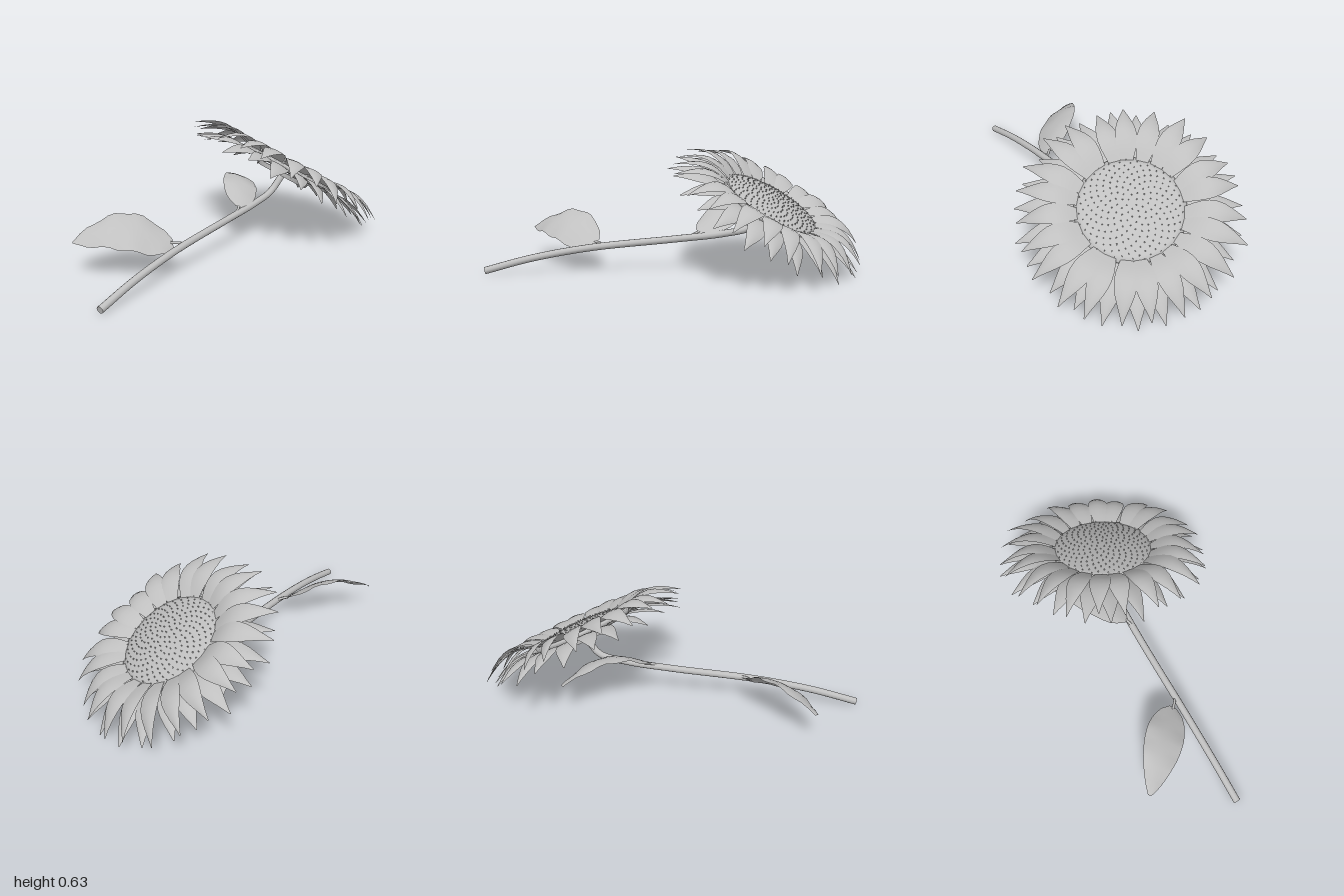
import * as THREE from 'three';
import { mergeGeometries } from 'three/addons/utils/BufferGeometryUtils.js';

const V = (x, y, z) => new THREE.Vector3(x, y, z);

// Grid sheet: fn(u in -1..1 across, t in 0..1 along) gives each point
function sheet(nu, nt, fn) {
  const g = new THREE.PlaneGeometry(1, 1, nu, nt);
  const p = g.attributes.position;
  for (let i = 0; i < p.count; i++) {
    const v = fn(p.getX(i) * 2, p.getY(i) + 0.5);
    p.setXYZ(i, v.x, v.y, v.z);
  }
  g.computeVertexNormals();
  return g;
}

// Pointed petal with a rounded back, running out from the rim of the head
function petal(angle, r0, length, width, base, rise, droop, phase) {
  const out = V(Math.cos(angle), 0, Math.sin(angle));
  const side = V(-out.z, 0, out.x);
  const twist = 0.3 * Math.sin(phase * 2.3);
  return sheet(6, 8, (u, t) => {
    const w = width * (0.5 + 0.5 * Math.sin(Math.PI * Math.min(1, t * 1.05))) * Math.pow(1 - t ** 3, 0.9) + 0.002;
    const y = base + rise * Math.sin(Math.PI * t) - droop * t * t - 0.35 * w * u * u * t + twist * w * u * t;
    return out.clone().multiplyScalar(r0 + length * t).addScaledVector(side, w * u).setY(y);
  });
}

// Arched leaf between two points; side is the half-width vector at its broadest
function leaf(base, tip, lift, side) {
  return sheet(8, 14, (u, t) => {
    const w = Math.pow(Math.sin(Math.PI * Math.pow(t * 0.97 + 0.012, 0.72)), 0.75);
    const wave = 0.006 * Math.sin(t * 22 + u) * Math.abs(u);
    const p = base.clone().lerp(tip, t).addScaledVector(side, u * w);
    p.y += lift * Math.sin(Math.PI * t) - 0.02 * u * u * w + wave;
    return p;
  });
}

export function createModel() {
  const model = new THREE.Group();
  const grey = new THREE.MeshStandardMaterial({ color: 0xc0c0c0, side: THREE.DoubleSide });
  grey.name = 'plain grey';
  const add = (name, geometry, parent = model) => {
    const m = new THREE.Mesh(geometry, grey);
    m.name = name;
    parent.add(m);
    return m;
  };
  const tube = (pts, r, n) => new THREE.TubeGeometry(new THREE.CatmullRomCurve3(pts), n, r, 10);

  // Head frame, facing up and towards +x
  const normal = V(0.47, 0.858, 0.206).normalize();
  const centre = V(0.505, 0.362, 0.016);
  const head = new THREE.Group();
  head.name = 'flowerHead';
  head.position.copy(centre);
  head.quaternion.setFromUnitVectors(V(0, 1, 0), normal);
  model.add(head);

  // Stem, bending up into the back of the head
  const start = V(-0.99, 0.022, 0.18);
  const stemPts = [start, V(-0.75, 0.083, 0.143), V(-0.45, 0.132, 0.097), V(0, 0.17, 0.03),
    V(0.25, 0.195, 0.0), V(0.4, 0.23, -0.012), centre.clone().addScaledVector(normal, -0.055)];
  add('stem', tube(stemPts, 0.019, 48));
  const cap = add('stemEnd', new THREE.CircleGeometry(0.019, 10));
  cap.position.copy(start);
  cap.lookAt(start.clone().multiplyScalar(2).sub(stemPts[1]));

  // Seed disc: domed front, flat back
  const R = 0.277, H = 0.035;
  const dome = r => H * (1 - (r / R) ** 2);
  const profile = [new THREE.Vector2(0, -0.032), new THREE.Vector2(0.272, -0.028)];
  for (let i = 0; i <= 8; i++) {
    const r = R * (1 - i / 8);
    profile.push(new THREE.Vector2(r, dome(r)));
  }
  add('seedDisc', new THREE.LatheGeometry(profile, 48), head);

  // Smaller disc behind, holding the stem
  const calyx = add('calyx', new THREE.CylinderGeometry(0.16, 0.15, 0.025, 32), head);
  calyx.position.y = -0.05;

  // Seeds: tiny three-sided spikes in a spiral
  const seeds = [];
  for (let i = 0; i < 230; i++) {
    const r = 0.265 * Math.sqrt((i + 0.5) / 230), a = i * 2.39996;
    const g = new THREE.ConeGeometry(0.006, 0.012, 3);
    g.rotateY(a * 1.7);
    g.translate(r * Math.cos(a), dome(r) + 0.003, r * Math.sin(a));
    seeds.push(g);
  }
  add('seeds', mergeGeometries(seeds), head);

  // Petal rings: name, turn, length, half width, height, rise, droop
  const count = 23;
  const rings = [
    ['upperPetals', 0, 0.31, 0.057, 0.005, 0.052, 0.04],
    ['lowerPetals', 0.5, 0.3, 0.055, -0.022, 0.025, 0.06],
  ];
  rings.forEach(([name, turn, len, w, base, rise, droop], k) => {
    const petals = [];
    for (let i = 0; i < count; i++) {
      const phase = i * 2.7 + k * 1.3;
      const a = ((i + turn + 0.08 * Math.sin(phase)) / count) * Math.PI * 2;
      petals.push(petal(a, 0.26, len + 0.015 * Math.sin(phase * 1.9), w, base, rise, droop + 0.015 * Math.cos(phase), phase));
    }
    add(name, mergeGeometries(petals), head);
  });

  // Two leaves on short stalks
  add('lowerLeaf', leaf(V(-0.42, 0.15, 0.05), V(-0.81, 0.185, -0.25), 0.08, V(0.062, 0.066, -0.08)));
  add('lowerLeafStalk', tube([V(-0.35, 0.14, 0.082), V(-0.39, 0.15, 0.07), V(-0.43, 0.156, 0.042)], 0.007, 6));
  add('upperLeaf', leaf(V(0.12, 0.205, 0), V(0.5, 0.2, -0.33), 0.1, V(-0.062, 0.035, -0.07)));
  add('upperLeafStalk', tube([V(0.06, 0.175, 0.02), V(0.1, 0.195, 0.01), V(0.14, 0.21, -0.018)], 0.007, 6));

  return model;
}
